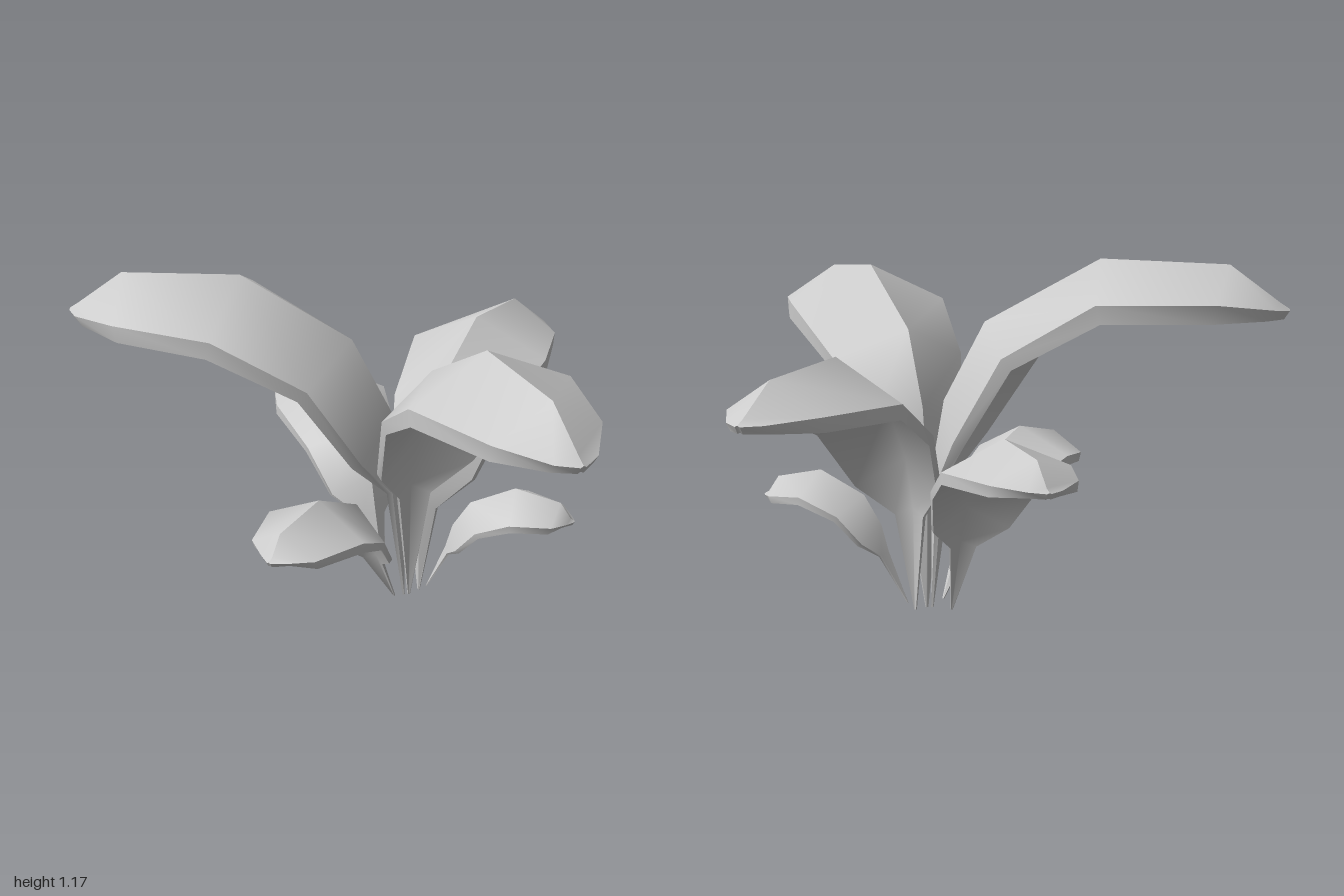
import * as THREE from 'three';
import { mergeGeometries } from 'three/addons/utils/BufferGeometryUtils.js';

// Leaf stations from root to tip: [midrib reach, midrib height, edge reach, edge height,
// half width, thickness, lean weight, midrib droop weight, edge droop weight]
const STATIONS = [
  [0.00, 0.00, 0.00, 0.00, 0.004, 0.006, 0, 0, 0],
  [0.00, 0.44, 0.03, 0.41, 0.060, 0.020, 1, 0, 0],
  [0.04, 0.67, 0.11, 0.56, 0.175, 0.035, 1.1, 0, 0.3],
  [0.17, 0.92, 0.27, 0.83, 0.235, 0.045, 1.1, 0, 0.6],
  [0.53, 1.12, 0.56, 1.00, 0.287, 0.057, 0.9, 0, 0.7],
  [0.92, 1.11, 0.90, 1.00, 0.190, 0.057, 0.5, 0.7, 1],
  [1.07, 1.00, 1.06, 0.98, 0.075, 0.040, 0, 1, 1],
  [1.10, 0.98, 1.10, 0.975, 0.010, 0.030, 0, 1, 1],
];

// Cross-section runs, each shaded smoothly: two upper halves, two rims, the underside
const STRIPS = [[0, 1], [1, 2], [2, 3, 4], [4, 5], [5, 0]];

// One solid folded leaf blade growing up and out toward +z
function leafGeometry({ reach, height, width, lean = 0, droop }) {
  const ribs = STATIONS.map(([mr, my, er, ey, w, t, k, dm, de]) => ({
    mid: [mr * reach + k * lean, my * height - dm * droop],
    edge: [er * reach + k * lean, ey * height - de * droop],
    w: w * width,
    t: t * Math.sqrt(width * height),
  }));

  const sections = ribs.map(({ mid: [mz, my], edge: [ez, ey], w, t }, i) => {
    // Underside is offset square to the midrib curve
    const a = ribs[Math.max(i - 1, 0)].mid;
    const b = ribs[Math.min(i + 1, ribs.length - 1)].mid;
    const len = Math.hypot(b[0] - a[0], b[1] - a[1]);
    const dz = (t * (b[1] - a[1])) / len;
    const dy = (-t * (b[0] - a[0])) / len;
    return [
      [0, my, mz],
      [-w, ey, ez],
      [-w, ey + dy, ez + dz],
      [0, my + dy, mz + dz],
      [w, ey + dy, ez + dz],
      [w, ey, ez],
    ];
  });

  const pieces = STRIPS.map((strip) => {
    const n = strip.length;
    const index = [];
    for (let i = 0; i < sections.length - 1; i++) {
      for (let j = 0; j < n - 1; j++) {
        const a = i * n + j;
        index.push(a, a + 1, a + n + 1, a, a + n + 1, a + n);
      }
    }
    return surface(sections.flatMap((s) => strip.map((c) => s[c])), index);
  });

  // End caps
  const fan = [0, 1, 2, 0, 2, 3, 0, 3, 4, 0, 4, 5];
  pieces.push(surface([...sections[0]].reverse(), fan));
  pieces.push(surface(sections[sections.length - 1], fan));
  return mergeGeometries(pieces);
}

function surface(points, index) {
  const geometry = new THREE.BufferGeometry();
  geometry.setAttribute('position', new THREE.Float32BufferAttribute(points.flat(), 3));
  geometry.setIndex(index);
  geometry.computeVertexNormals();
  return geometry;
}

// Root position and growth direction (x, z) of each leaf, with its size
const LEAVES = [
  { name: 'frontLeaf', root: [0.065, 0.01, -0.10], dir: [-0.005, 1], reach: 1, height: 1, width: 1, droop: 0.012 },
  { name: 'tallBackRightLeaf', root: [0.05, 0.01, -0.10], dir: [-0.93, -0.68], reach: 1.05, height: 1.045, width: 1.06, droop: 0.005 },
  { name: 'backLeftLeaf', root: [0.11, 0.01, -0.11], dir: [0.77, -0.55], reach: 0.86, height: 0.79, width: 0.91, droop: 0.045 },
  { name: 'backLeaf', root: [0.015, 0.02, -0.19], dir: [0.04, -0.81], reach: 0.736, height: 0.565, width: 0.74, lean: 0.075, droop: 0.03 },
  { name: 'smallRightLeaf', root: [0.0, 0.03, -0.08], dir: [-0.6, 0.31], reach: 0.62, height: 0.485, width: 0.68, lean: 0.1, droop: 0.045 },
  { name: 'smallLeftLeaf', root: [0.13, 0.03, -0.09], dir: [0.38, 0.37], reach: 0.48, height: 0.385, width: 0.5, lean: 0.07, droop: 0.04 },
];

export function createModel() {
  const plant = new THREE.Group();
  plant.name = 'plant';
  const material = new THREE.MeshStandardMaterial({ color: 0xcccccc });

  for (const leaf of LEAVES) {
    const mesh = new THREE.Mesh(leafGeometry(leaf), material);
    mesh.name = leaf.name;
    mesh.position.set(...leaf.root);
    mesh.rotation.y = Math.atan2(leaf.dir[0], leaf.dir[1]);
    plant.add(mesh);
  }
  return plant;
}
